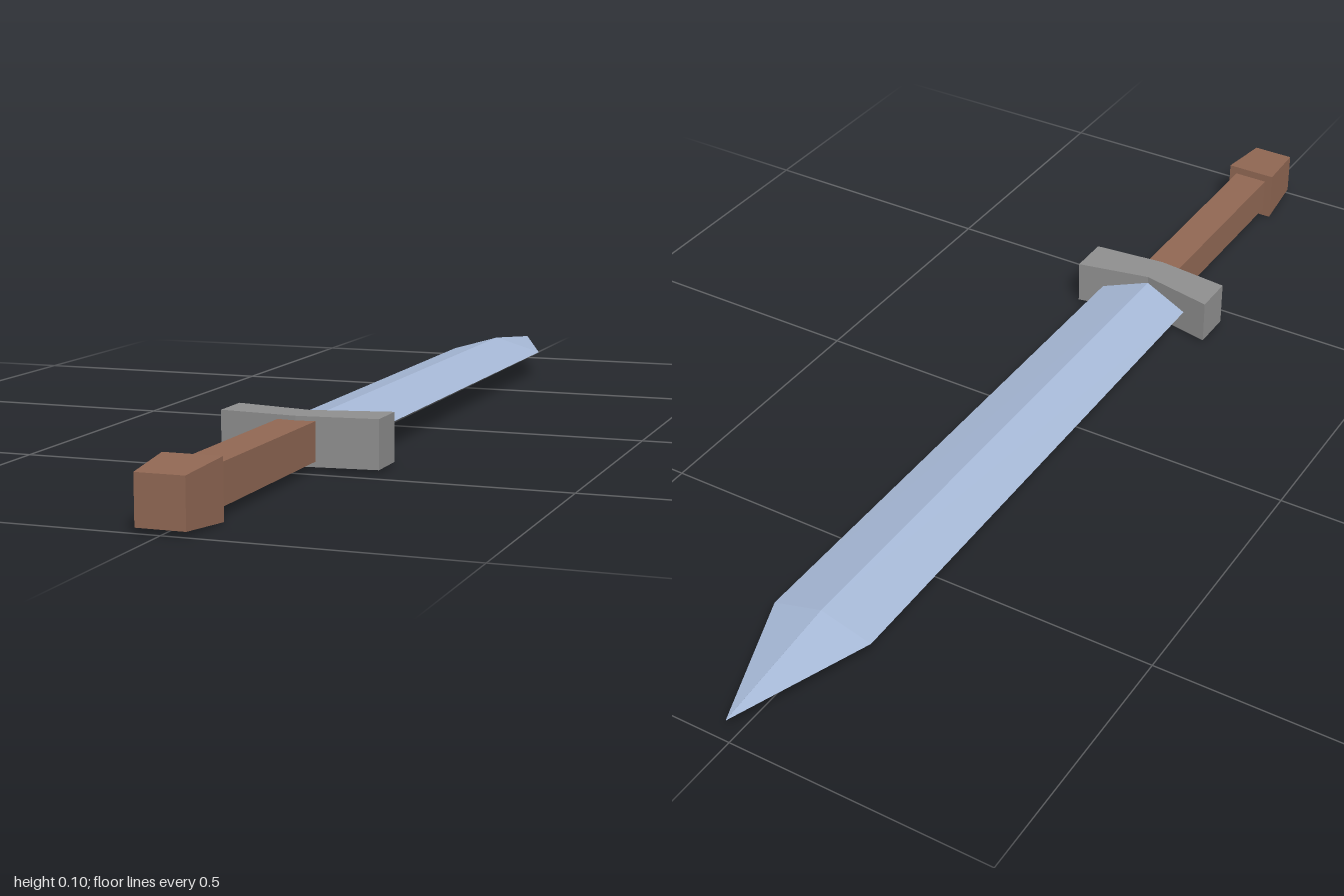
import * as THREE from 'three';

const MID = 0.054; // height of the sword's axis

// Skins rings of [x, y] corners (counter-clockwise seen from +z), listed from back to front
function loft(sections) {
  const pos = [];
  const rings = sections.map(({ z, ring }) => ring.map(([x, y]) => [x, y + MID, z]));
  const n = rings[0].length;
  const tri = (a, b, c) => pos.push(...a, ...b, ...c);
  for (let s = 0; s < rings.length - 1; s++) {
    const back = rings[s], front = rings[s + 1];
    for (let i = 0; i < n; i++) {
      const j = (i + 1) % n;
      tri(back[i], back[j], front[j]);
      tri(back[i], front[j], front[i]);
    }
  }
  // End caps
  const first = rings[0], last = rings[rings.length - 1];
  for (let i = 1; i < n - 1; i++) {
    tri(first[0], first[i + 1], first[i]);
    tri(last[0], last[i], last[i + 1]);
  }
  const geo = new THREE.BufferGeometry();
  geo.setAttribute('position', new THREE.Float32BufferAttribute(pos, 3));
  geo.computeVertexNormals();
  return geo;
}

const square = (r) => [[r, -r], [r, r], [-r, r], [-r, -r]];
const diamond = (w, h) => [[w, 0], [0, h], [-w, 0], [0, -h]];

export function createModel() {
  const group = new THREE.Group();
  const material = (color) => new THREE.MeshStandardMaterial({ color, flatShading: true });
  const steel = material(0xa6b8d6);
  const iron = material(0x8e8e8e);
  const wood = material(0x906753);

  const add = (name, geometry, mat) => {
    const mesh = new THREE.Mesh(geometry, mat);
    mesh.name = name;
    group.add(mesh);
  };

  // Diamond-section blade, widening slightly to the shoulder, then a point
  add('blade', loft([
    { z: -1, ring: diamond(0.0005, 0.0005) },
    { z: -0.74, ring: diamond(0.099, 0.029) },
    { z: 0.43, ring: diamond(0.094, 0.029) },
  ]), steel);

  // Chevron crossguard swept toward the blade, drawn in plan and extruded upward
  const plan = new THREE.Shape([
    [0, -0.47], [0.146, -0.455], [0.146, -0.375],
    [0, -0.405], [-0.146, -0.375], [-0.146, -0.455],
  ].map(([x, y]) => new THREE.Vector2(x, y)));
  const guard = new THREE.ExtrudeGeometry(plan, { depth: 0.088, bevelEnabled: false });
  guard.rotateX(-Math.PI / 2).translate(0, MID - 0.045, 0);
  add('crossguard', guard, iron);

  // Square grip
  add('grip', loft([
    { z: 0.44, ring: square(0.035) },
    { z: 0.9, ring: square(0.035) },
  ]), wood);

  // Tapered square pommel
  add('pommel', loft([
    { z: 0.885, ring: square(0.051) },
    { z: 1, ring: square(0.042) },
  ]), wood);

  return group;
}
